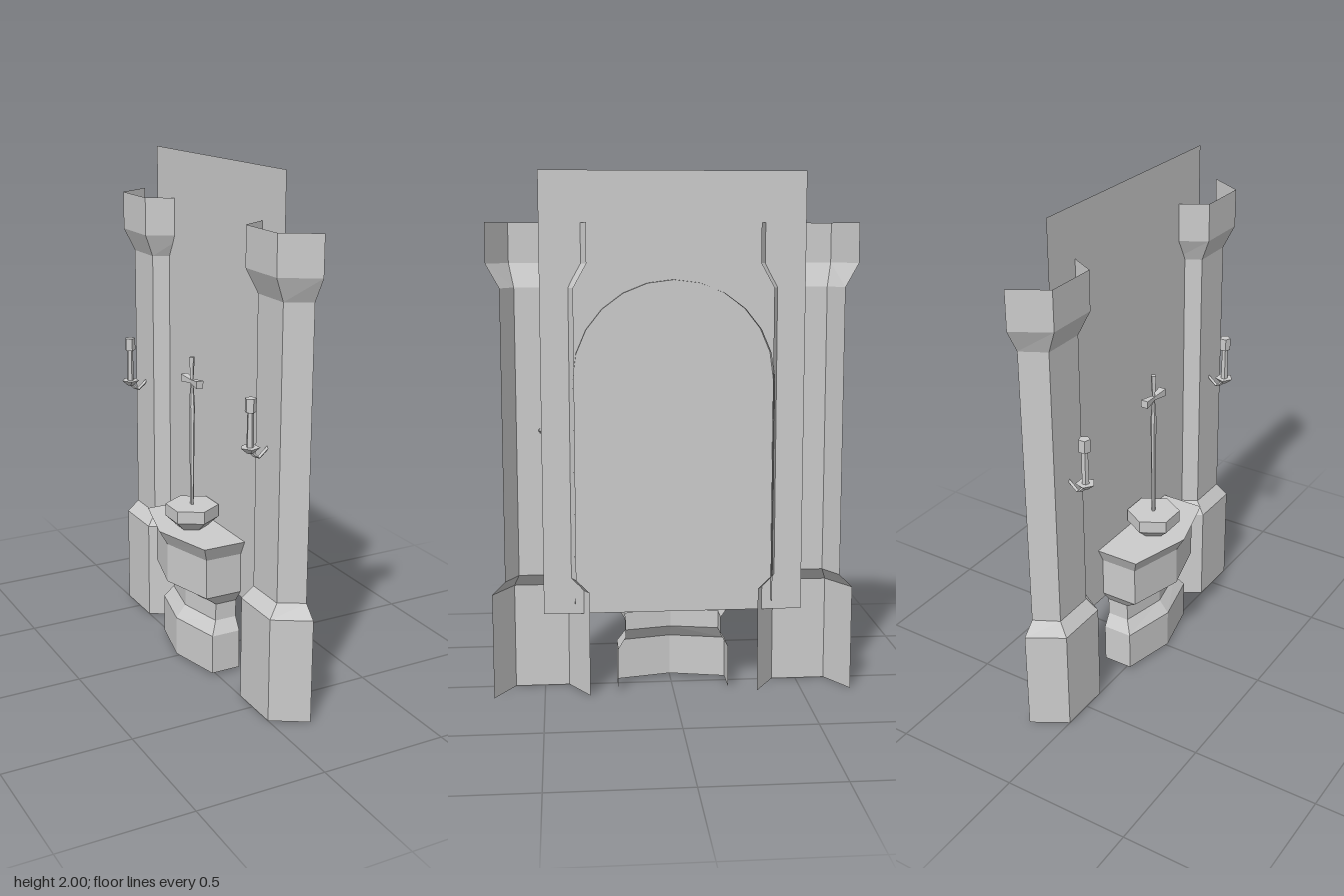
import * as THREE from 'three';

const material = new THREE.MeshStandardMaterial({ color: 0xcccccc, flatShading: true, side: THREE.DoubleSide });

function add(parent, name, geometry, x = 0, y = 0, z = 0) {
  const mesh = new THREE.Mesh(geometry, material);
  mesh.name = name;
  mesh.position.set(x, y, z);
  parent.add(mesh);
  return mesh;
}

// Skin an open strip through successive cross-sections of [x, y, z] points
function loft(sections) {
  const pos = [];
  for (let i = 0; i < sections.length - 1; i++) {
    const a = sections[i], b = sections[i + 1];
    for (let j = 0; j < a.length - 1; j++) {
      pos.push(...a[j], ...a[j + 1], ...b[j + 1], ...a[j], ...b[j + 1], ...b[j]);
    }
  }
  const g = new THREE.BufferGeometry();
  g.setAttribute('position', new THREE.Float32BufferAttribute(pos, 3));
  g.computeVertexNormals();
  return g;
}

// Three-sided half column: [height, front x, front half-width, back half-width]
function pillarGeometry() {
  return loft([
    [0, 0, 0.105, 0.185], [0.41, 0, 0.105, 0.185],
    [0.46, 0.04, 0.085, 0.135], [1.57, 0.04, 0.085, 0.135],
    [1.66, 0, 0.105, 0.185], [1.81, 0, 0.105, 0.185],
  ].map(([y, x, f, b]) => [[0.135, y, -b], [x, y, -f], [x, y, f], [0.135, y, b]]));
}

// Pointed-front altar: [height, tip x, corner x, half-width]
function altarGeometry() {
  const ring = ([y, tip, corner, w]) => [[0.1, y, -w], [corner, y, -w], [tip, y, 0], [corner, y, w], [0.1, y, w]];
  const sections = [
    [0.01, -0.07, -0.02, 0.215], [0.17, -0.07, -0.02, 0.215],
    [0.22, -0.03, 0.01, 0.185], [0.29, -0.03, 0.01, 0.185],
    [0.34, -0.11, -0.05, 0.22], [0.5, -0.11, -0.05, 0.22],
    [0.56, -0.145, -0.075, 0.25],
  ].map(ring);
  // Close the table top along its centre line
  sections.push(sections[sections.length - 1].map(([x, y]) => [x, y, 0]));
  return loft(sections);
}

// Shallow strip that outlines the arch on the back of the panel
function archGeometry() {
  const line = [[0.36, 0.38]];
  const steps = 12;
  for (let i = 0; i <= steps; i++) {
    const a = (i / steps) * Math.PI;
    line.push([1.23 + 0.37 * Math.sin(a), 0.38 * Math.cos(a)]);
  }
  line.push([0.36, -0.38]);
  return loft([0.1, 0.14].map((x) => line.map(([y, z]) => [x, y, z])));
}

// Wall candle on a bent arm
function wallCandle() {
  const g = new THREE.Group();
  g.name = 'wallCandle';
  add(g, 'candleCap', new THREE.CylinderGeometry(0.022, 0.022, 0.05, 5), -0.03, 1.195, 0);
  add(g, 'candle', new THREE.CylinderGeometry(0.012, 0.014, 0.14, 5), -0.03, 1.1, 0);
  const dish = add(g, 'candleDish', new THREE.CylinderGeometry(0.037, 0.012, 0.022, 5), -0.03, 1.029, 0);
  dish.rotation.y = -Math.PI / 2;
  const path = new THREE.CurvePath();
  const bend = new THREE.Vector3(0.002, 0.992, 0);
  path.add(new THREE.LineCurve3(new THREE.Vector3(-0.03, 1.025, 0), bend));
  path.add(new THREE.LineCurve3(bend, new THREE.Vector3(0.045, 1.03, 0)));
  add(g, 'candleArm', new THREE.TubeGeometry(path, 4, 0.007, 4));
  return g;
}

export function createModel() {
  const model = new THREE.Group();
  model.name = 'altarWall';

  // Flat wall panel and its arch
  const panel = add(model, 'wallPanel', new THREE.PlaneGeometry(1, 1.68), 0.1, 1.16, 0);
  panel.rotation.y = Math.PI / 2;
  add(model, 'archRim', archGeometry());

  // Flanking pillars with candles
  for (const side of [-1, 1]) {
    add(model, 'pillar', pillarGeometry(), 0, 0, side * 0.51);
    const candle = wallCandle();
    candle.position.z = side * 0.505;
    model.add(candle);
  }

  add(model, 'altar', altarGeometry());

  // Hexagonal stand
  add(model, 'standTop', new THREE.CylinderGeometry(0.105, 0.105, 0.05, 6), 0, 0.625, 0);
  add(model, 'standFoot', new THREE.CylinderGeometry(0.105, 0.06, 0.04, 6), 0, 0.58, 0);

  // Slender post with a flared crossbar
  add(model, 'post', new THREE.CylinderGeometry(0.016, 0.01, 0.4, 6), 0, 0.85, 0).scale.x = 0.6;
  add(model, 'postNeck', new THREE.CylinderGeometry(0.007, 0.016, 0.1, 6), 0, 1.1, 0).scale.x = 0.7;
  add(model, 'postTop', new THREE.CylinderGeometry(0.012, 0.006, 0.1, 4), 0, 1.2, 0);
  for (const side of [-1, 1]) {
    const arm = add(model, 'crossArm', new THREE.CylinderGeometry(0.021, 0.01, 0.065, 4, 1, false, Math.PI / 4), 0, 1.155, side * 0.0325);
    arm.rotation.x = side * Math.PI / 2;
  }
  return model;
}
